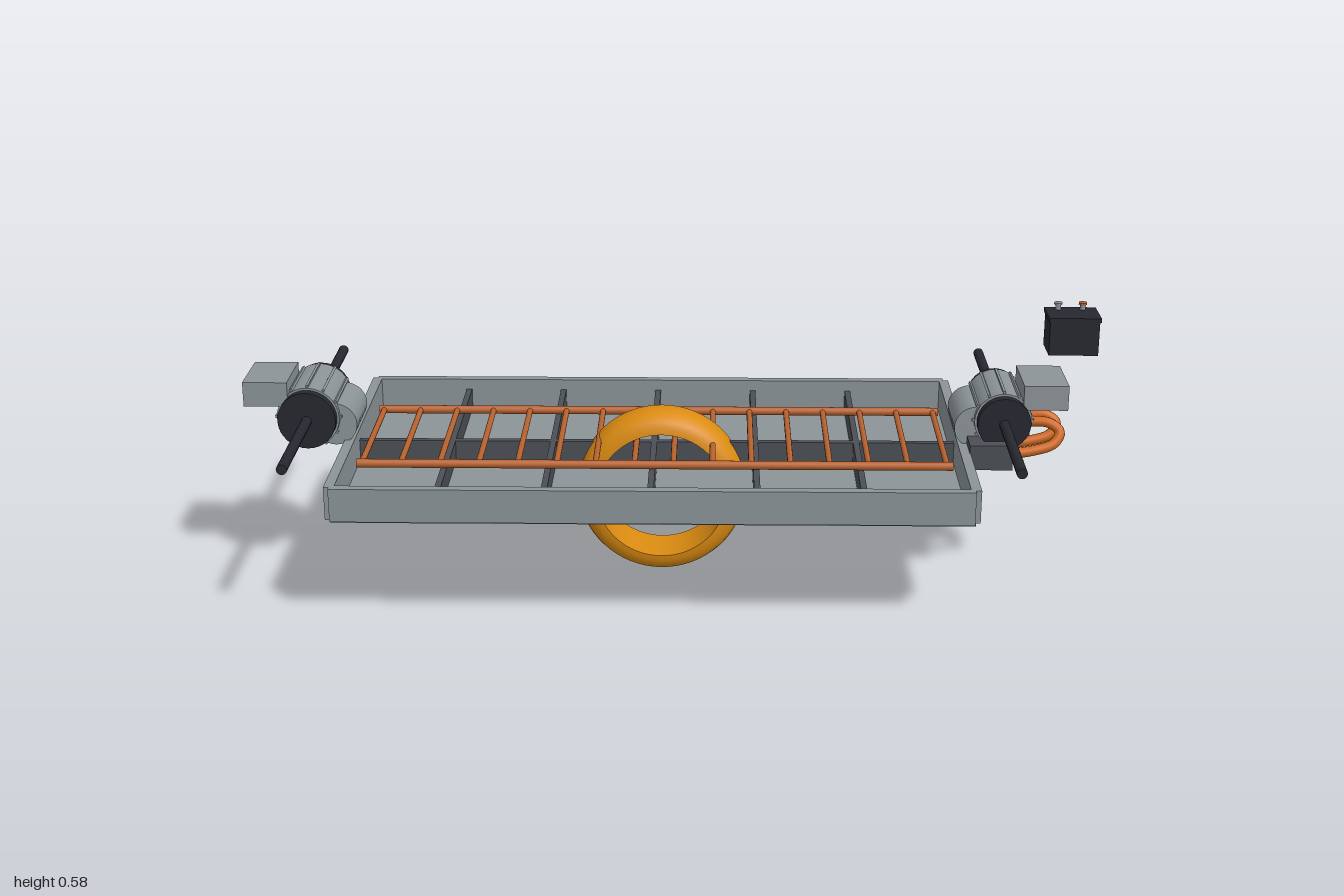
import * as THREE from 'three';
import { toCreasedNormals } from 'three/addons/utils/BufferGeometryUtils.js';

const mat = (name, color) => new THREE.MeshStandardMaterial({ name, color });

export function createModel() {
  const root = new THREE.Group();
  root.name = 'boardChassis';
  const grey = mat('aluminium grey', 0x8c9498);
  const darkGrey = mat('rib grey', 0x4b4f55);
  const black = mat('black', 0x272730);
  const copper = mat('copper', 0xb8622f);
  const amber = mat('amber', 0xdc8c12);
  const cableOrange = mat('cable orange', 0xd0681f);

  const add = (parent, name, geometry, material, x = 0, y = 0, z = 0) => {
    const m = new THREE.Mesh(geometry, material);
    m.name = name;
    m.position.set(x, y, z);
    parent.add(m);
    return m;
  };
  // box given by its lower and upper limits on each axis
  const box = (parent, name, material, x0, x1, y0, y1, z0, z1) =>
    add(parent, name, new THREE.BoxGeometry(x1 - x0, y1 - y0, z1 - z0), material,
      (x0 + x1) / 2, (y0 + y1) / 2, (z0 + z1) / 2);
  const rodZ = (parent, name, material, r, length, x, y, z = 0, sides = 32) =>
    add(parent, name, new THREE.CylinderGeometry(r, r, length, sides).rotateX(Math.PI / 2), material, x, y, z);
  const rodX = (parent, name, material, r, length, x, y, z = 0) =>
    add(parent, name, new THREE.CylinderGeometry(r, r, length, 16).rotateZ(Math.PI / 2), material, x, y, z);
  const group = (name) => {
    const g = new THREE.Group();
    g.name = name;
    root.add(g);
    return g;
  };

  // open tray: floor plate and four walls with notched corners
  const tray = group('tray');
  box(tray, 'floorPlate', grey, -0.765, 0.655, 0.257, 0.267, -0.377, 0.377);
  for (const s of [-1, 1]) {
    const z0 = s > 0 ? 0.367 : -0.39;
    box(tray, 'sideWall', grey, -0.765, 0.652, 0.264, 0.341, z0, z0 + 0.023);
    const x0 = s > 0 ? 0.642 : -0.777;
    box(tray, 'endWall', grey, x0, x0 + 0.023, 0.264, 0.341, -0.377, 0.377);
  }

  // stiffening ribs
  const ribs = group('ribs');
  box(ribs, 'spine', darkGrey, -0.755, 0.643, 0.265, 0.315, -0.008, 0.008);
  for (let i = 0; i < 5; i++) {
    const x = -0.535 + i * 0.237;
    box(ribs, 'crossRib', darkGrey, x - 0.007, x + 0.007, 0.265, 0.315, -0.37, 0.37);
  }

  // copper ladder resting on the ribs
  const ladder = group('ladder');
  for (const z of [-0.185, 0.185]) rodX(ladder, 'rail', copper, 0.01, 1.355, -0.056, 0.325, z);
  for (let i = 0; i < 16; i++) rodZ(ladder, 'rung', copper, 0.007, 0.37, -0.722 + i * 0.0887, 0.325, 0, 12);

  // wheel ring through the middle of the tray
  const half = [[0.152, 0.063], [0.165, 0.061], [0.18, 0.054], [0.189, 0.045], [0.196, 0.025]];
  const profile = [
    ...half.map(([r, h]) => new THREE.Vector2(r, -h)),
    new THREE.Vector2(0.198, 0),
    ...half.slice().reverse().map(([r, h]) => new THREE.Vector2(r, h)),
    new THREE.Vector2(0.152, -0.063),
  ];
  const ringGeo = toCreasedNormals(new THREE.LatheGeometry(profile, 64).rotateX(Math.PI / 2), 0.6);
  add(root, 'wheelRing', ringGeo, amber, -0.043, 0.2, 0);

  // drive motors at both ends; inward is the x direction towards the tray
  const motor = (name, x, r, inward) => {
    const g = group(name);
    const y = 0.4;
    rodZ(g, 'motorBody', grey, r, 0.182, x, y);
    for (const s of [-1, 1]) rodZ(g, 'endCap', black, r - 0.005, 0.026, x, y, s * 0.1);
    rodZ(g, 'axle', black, 0.012, 0.846, x, y - 0.001, 0, 20);
    rodZ(g, 'gearCase', grey, 0.05, 0.155, x + inward * 0.06, 0.38);
    for (let i = 0; i < 12; i++) {
      const a = (i / 12) * Math.PI * 2;
      const fin = add(g, 'coolingFin', new THREE.BoxGeometry(0.01, 0.006, 0.17), grey,
        x + Math.cos(a) * r, y + Math.sin(a) * r, 0);
      fin.rotation.z = a;
    }
    const xc = x - inward * 0.094;
    box(g, 'controlBox', grey, xc - 0.051, xc + 0.051, 0.43, 0.488, -0.052, 0.1);
  };
  motor('leftEndMotor', 0.743, 0.066, -1);
  motor('rightEndMotor', -0.856, 0.072, 1);

  // junction box with two looped cables into the motor
  const wiring = group('wiring');
  box(wiring, 'junctionBox', darkGrey, 0.663, 0.762, 0.3, 0.359, 0.01, 0.143);
  for (const [z0, z1, top] of [[0.11, 0.068, 0.397], [0.043, 0.014, 0.392]]) {
    const zAt = (t) => z0 + (z1 - z0) * t;
    const path = new THREE.CatmullRomCurve3([
      new THREE.Vector3(0.755, 0.328, zAt(0)),
      new THREE.Vector3(0.81, 0.335, zAt(0.05)),
      new THREE.Vector3(0.86, 0.35, zAt(0.25)),
      new THREE.Vector3(0.874, 0.374, zAt(0.55)),
      new THREE.Vector3(0.85, 0.392, zAt(0.8)),
      new THREE.Vector3(0.8, top - 0.004, zAt(0.97)),
      new THREE.Vector3(0.75, top - 0.01, zAt(1)),
    ]);
    add(wiring, 'cable', new THREE.TubeGeometry(path, 40, 0.012, 12), cableOrange);
  }

  // separate battery with lid and two terminals
  const battery = group('battery');
  box(battery, 'batteryCase', black, 0.879, 0.997, 0.475, 0.56, -0.259, -0.169);
  box(battery, 'batteryLid', black, 0.876, 1, 0.558, 0.568, -0.262, -0.167);
  for (const [x, material] of [[0.907, grey], [0.966, copper]]) {
    add(battery, 'terminalPost', new THREE.CylinderGeometry(0.007, 0.007, 0.014, 16), grey, x, 0.574, -0.245);
    add(battery, 'terminalCap', new THREE.CylinderGeometry(0.01, 0.01, 0.005, 16), material, x, 0.583, -0.245);
  }
  return root;
}
